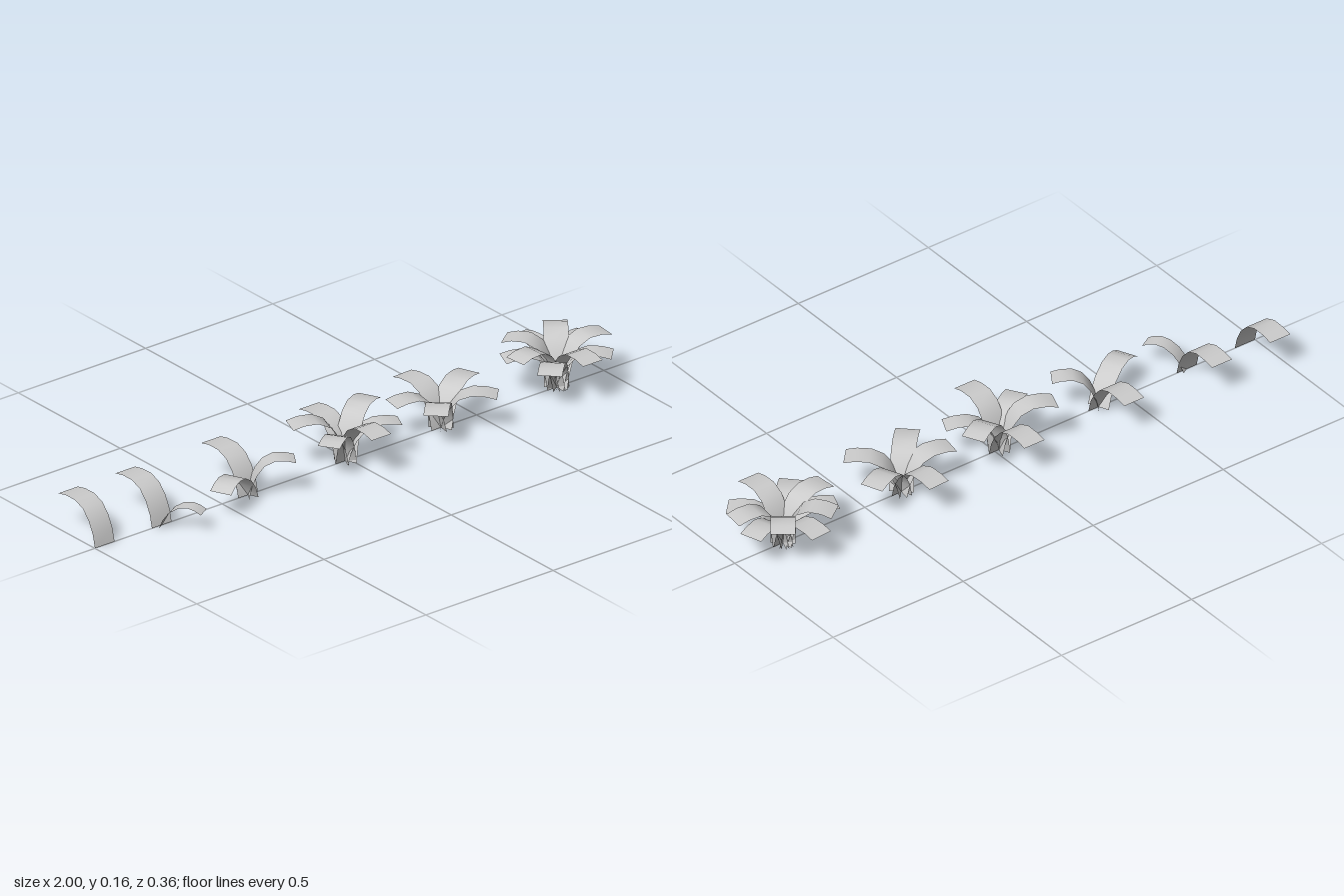
import * as THREE from 'three';

// Leaf side profiles as [reach, height] fractions, from root to tip
const ARCH = [[0, 0], [0.06, 0.33], [0.17, 0.63], [0.33, 0.87], [0.55, 0.99], [0.8, 0.985], [1, 0.925]];
const DROOP = [[0, 0], [0.09, 0.36], [0.25, 0.7], [0.47, 0.94], [0.69, 1], [0.86, 0.93], [1, 0.8]];

const LOW = 0.129, TALL = 0.159, WIDTH = 0.077;

const material = new THREE.MeshStandardMaterial({ color: 0xcccccc, side: THREE.DoubleSide });

// A strip bent along a profile; angle is in degrees, 0 = +z, 90 = +x
function leaf([angle, reach, height = LOW, width = WIDTH, profile = ARCH]) {
  const rows = profile.length - 1;
  const geo = new THREE.PlaneGeometry(width, 1, 1, rows);
  const pos = geo.attributes.position;
  for (let i = 0; i < pos.count; i++) {
    const [r, y] = profile[rows - Math.floor(i / 2)];
    pos.setY(i, y * height);
    pos.setZ(i, -r * reach);
  }
  geo.computeVertexNormals();
  const mesh = new THREE.Mesh(geo, material);
  mesh.name = 'leaf';
  mesh.rotation.y = THREE.MathUtils.degToRad(angle + 180);
  return mesh;
}

// Each plant: name, x position, and its leaves [angle, reach, height, width, profile]
const PLANTS = [
  ['singleLeaf', -0.961, [[180, 0.18]]],
  ['leafPair', -0.737, [[180, 0.18], [31, 0.137, 0.083, 0.05, DROOP]]],
  ['threeLeafPlant', -0.398, [
    [180, 0.182], [-65.4, 0.187, 0.108, 0.072, DROOP], [57.5, 0.145, 0.126, 0.067]]],
  ['sixLeafPlant', -0.016, [
    [180, 0.18], [-57.6, 0.155, 0.126, 0.072], [65.5, 0.173, 0.126, 0.068],
    [0, 0.177, TALL], [-110.5, 0.18, TALL], [116, 0.176, TALL]]],
  ['fiveLeafPlant', 0.36, [
    [-177, 0.18], [112, 0.177], [-100, 0.173], [-44, 0.168], [46.6, 0.175]]],
  ['tenLeafPlant', 0.815, [
    [-176, 0.18], [-112, 0.172], [109, 0.177], [-46, 0.172], [46, 0.172],
    [0, 0.177, TALL], [-85, 0.177, TALL], [84, 0.179, TALL],
    [-144, 0.167, TALL], [143, 0.168, TALL]]],
];

export function createModel() {
  const model = new THREE.Group();
  model.name = 'leafyPlants';
  for (const [name, x, leaves] of PLANTS) {
    const plant = new THREE.Group();
    plant.name = name;
    plant.position.x = x;
    leaves.forEach((spec) => plant.add(leaf(spec)));
    model.add(plant);
  }
  return model;
}
